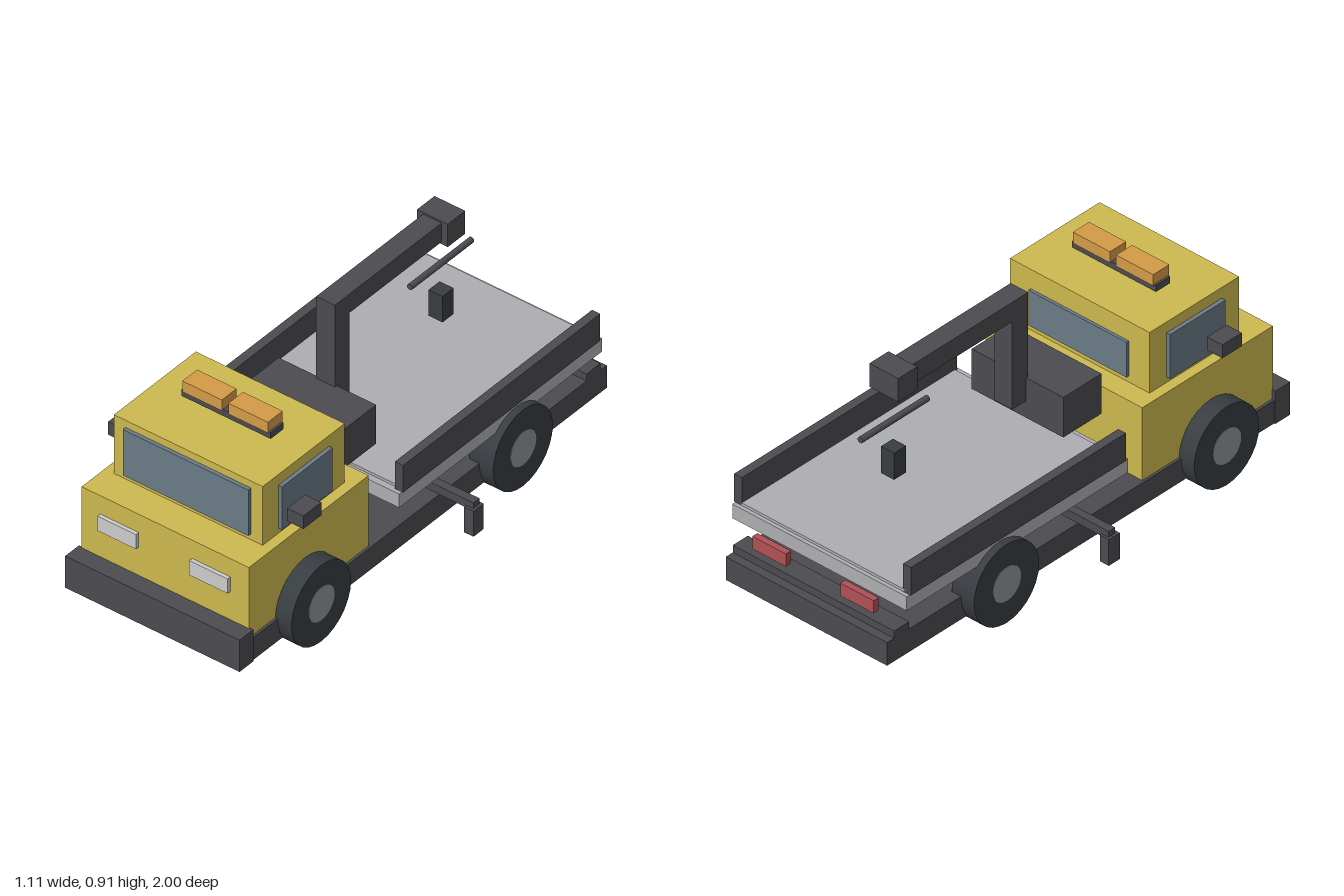
import * as THREE from 'three';

const mat = (color) => new THREE.MeshStandardMaterial({ color });

export function createModel() {
  const model = new THREE.Group();
  model.name = 'craneTruck';

  const yellow = mat(0xcdb84f), dark = mat(0x4b4b50), bedGrey = mat(0xaeaeb2);
  const glass = mat(0x6a7a86), amber = mat(0xd49a48), red = mat(0xb05055);
  const rubber = mat(0x383d42), hubGrey = mat(0x8f9296), lamp = mat(0xcccccc);

  // Box given by its extents along each axis
  const box = (name, material, [x0, x1], [y0, y1], [z0, z1]) => {
    const mesh = new THREE.Mesh(new THREE.BoxGeometry(x1 - x0, y1 - y0, z1 - z0), material);
    mesh.position.set((x0 + x1) / 2, (y0 + y1) / 2, (z0 + z1) / 2);
    mesh.name = name;
    model.add(mesh);
  };
  // Same box on both sides
  const pair = (name, material, [x0, x1], y, z) => {
    box(name + 'Left', material, [x0, x1], y, z);
    box(name + 'Right', material, [-x1, -x0], y, z);
  };
  const mid = (half) => [-half, half];

  // Chassis and bumpers
  box('chassis', dark, mid(0.37), [0.07, 0.165], [-1, 0.99]);
  box('frontBumper', dark, mid(0.375), [0.07, 0.205], [0.925, 1]);
  box('rearStep', dark, mid(0.37), [0.165, 0.195], [-0.965, -0.89]);

  // Cab
  box('cabLower', yellow, mid(0.36), [0.165, 0.465], [0.28, 0.93]);
  box('cabUpper', yellow, mid(0.32), [0.465, 0.715], [0.36, 0.805]);
  box('windshield', glass, mid(0.27), [0.49, 0.685], [0.8, 0.82]);
  box('rearWindow', glass, mid(0.225), [0.49, 0.635], [0.348, 0.365]);
  pair('sideWindow', glass, [0.315, 0.336], [0.487, 0.67], [0.445, 0.72]);
  pair('mirror', dark, [0.35, 0.42], [0.525, 0.58], [0.613, 0.71]);
  pair('headlight', lamp, [0.115, 0.28], [0.325, 0.387], [0.925, 0.945]);

  // Roof light bar
  box('lightBarBase', dark, mid(0.192), [0.733, 0.76], [0.53, 0.6]);
  pair('beacon', amber, [0.014, 0.184], [0.757, 0.803], [0.525, 0.605]);

  // Flat bed
  box('bed', bedGrey, mid(0.4), [0.277, 0.335], [-0.935, 0.165]);
  box('deckPlate', bedGrey, mid(0.375), [0.335, 0.346], [-0.92, 0.14]);
  pair('bedRail', dark, [0.37, 0.405], [0.335, 0.45], [-0.92, 0.15]);
  pair('tailLight', red, [0.125, 0.278], [0.225, 0.277], [-0.967, -0.942]);

  // Crane
  box('craneBase', dark, mid(0.21), [0.39, 0.555], [0.05, 0.24]);
  box('cranePost', dark, mid(0.04), [0.46, 0.903], [-0.02, 0.06]);
  box('craneBoom', dark, mid(0.04), [0.823, 0.903], [-0.53, 0.06]);
  box('boomHead', dark, mid(0.066), [0.813, 0.91], [-0.615, -0.52]);
  box('hookBlock', rubber, mid(0.03), [0.465, 0.575], [-0.597, -0.537]);
  const rod = new THREE.Mesh(new THREE.CylinderGeometry(0.012, 0.012, 0.335, 10), dark);
  rod.rotation.x = Math.PI / 2;
  rod.position.set(0, 0.685, -0.565);
  rod.name = 'cableRod';
  model.add(rod);

  // Outriggers
  pair('outriggerArm', dark, [0.3, 0.545], [0.2, 0.234], [-0.088, -0.055]);
  pair('outriggerFoot', dark, [0.515, 0.555], [0.102, 0.21], [-0.098, -0.043]);

  // Wheels with hubs
  const tireGeo = new THREE.CylinderGeometry(0.162, 0.162, 0.103, 28).rotateZ(Math.PI / 2);
  const hubGeo = new THREE.CylinderGeometry(0.07, 0.07, 0.107, 24).rotateZ(Math.PI / 2);
  for (const side of [1, -1]) {
    for (const z of [0.625, -0.47]) {
      const wheel = new THREE.Group();
      wheel.name = (z > 0 ? 'front' : 'rear') + 'Wheel' + (side > 0 ? 'Left' : 'Right');
      const tire = new THREE.Mesh(tireGeo, rubber);
      tire.name = 'tire';
      const hub = new THREE.Mesh(hubGeo, hubGrey);
      hub.name = 'hub';
      wheel.add(tire, hub);
      wheel.position.set(side * 0.378, 0.162, z);
      model.add(wheel);
    }
  }
  return model;
}
